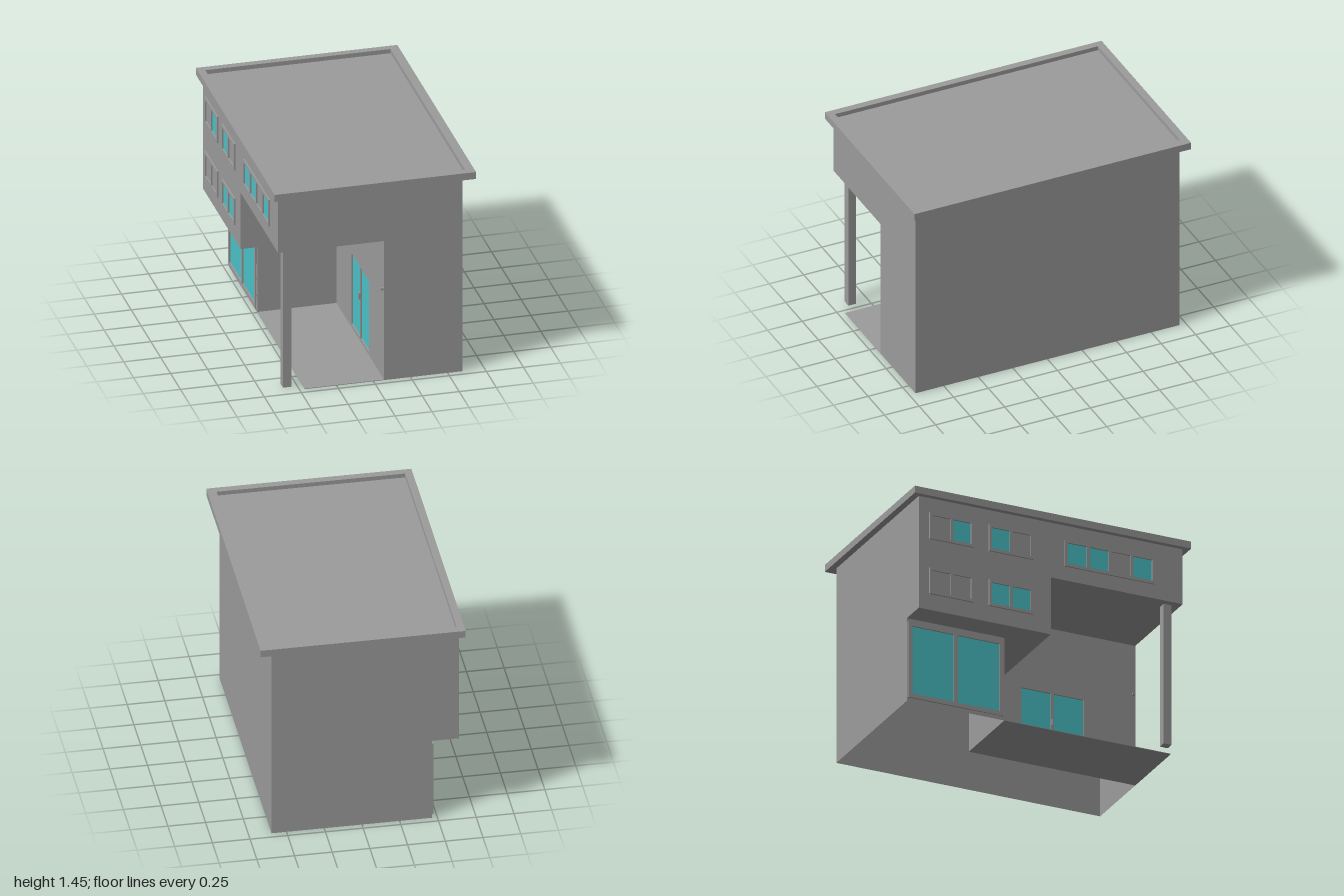
import * as THREE from 'three';

const grey = new THREE.MeshStandardMaterial({ color: 0x9c9c9c, side: THREE.DoubleSide, flatShading: true });
const teal = new THREE.MeshStandardMaterial({ color: 0x4bc3c8, side: THREE.DoubleSide, flatShading: true });

const polygon = (pts) => new THREE.Shape(pts.map(([a, b]) => new THREE.Vector2(a, b)));
const rect = (a0, a1, b0, b1) => [[a0, b0], [a1, b0], [a1, b1], [a0, b1]];

export function createModel() {
  const model = new THREE.Group();

  const add = (name, geometry, material = grey, parent = model) => {
    const mesh = new THREE.Mesh(geometry, material);
    mesh.name = name;
    parent.add(mesh);
    return mesh;
  };
  const box = (name, x0, x1, y0, y1, z0, z1) => {
    const mesh = add(name, new THREE.BoxGeometry(x1 - x0, y1 - y0, z1 - z0));
    mesh.position.set((x0 + x1) / 2, (y0 + y1) / 2, (z0 + z1) / 2);
  };
  // Thin wall in the x-y plane at depth z
  const crossWall = (name, z, pts) => {
    add(name, new THREE.ShapeGeometry(polygon(pts))).position.z = z;
  };
  // Thin wall in the z-y plane at x, with rectangular openings
  const sideWall = (name, x, pts, openings = []) => {
    const shape = polygon(pts);
    openings.forEach((o) => shape.holes.push(polygon(rect(o.z0, o.z1, o.y0, o.y1))));
    const mesh = add(name, new THREE.ShapeGeometry(shape));
    mesh.rotation.y = -Math.PI / 2;
    mesh.position.x = x;
  };
  // Level underside in the x-z plane at height y
  const soffit = (name, y, x0, x1, z0, z1) => {
    const mesh = add(name, new THREE.PlaneGeometry(x1 - x0, z1 - z0));
    mesh.rotation.x = Math.PI / 2;
    mesh.position.set((x0 + x1) / 2, y, (z0 + z1) / 2);
  };
  // Framed window facing -x: one letter per pane, t = tinted, g = grey
  const glazing = (name, x, o) => {
    const group = new THREE.Group();
    group.name = name;
    group.rotation.y = -Math.PI / 2;
    group.position.x = x;
    model.add(group);
    const rim = o.rim, n = o.panes.length;
    const width = (o.z1 - o.z0 - rim * (n + 1)) / n;
    const shape = polygon(rect(o.z0, o.z1, o.y0, o.y1));
    [...o.panes].forEach((kind, i) => {
      const a = o.z0 + rim + i * (width + rim);
      const corners = rect(a, a + width, o.y0 + rim, o.y1 - rim);
      shape.holes.push(polygon(corners));
      add('pane', new THREE.ShapeGeometry(polygon(corners)), kind === 't' ? teal : grey, group);
    });
    add('windowFrame', new THREE.ExtrudeGeometry(shape, { depth: 0.01, bevelEnabled: false }), grey, group);
  };

  // Window layout
  const row = (y0, y1, list) => list.map(([z0, z1, panes]) => ({ z0, z1, y0, y1, panes, rim: 0.02 }));
  const upper = row(1.105, 1.295, [[-0.88, -0.56, 'gt'], [-0.45, -0.13, 'tg'], [0.1, 0.75, 'ttgt']]);
  const middle = row(0.71, 0.9, [[-0.88, -0.56, 'gg'], [-0.45, -0.13, 'tt']]);
  const terrace = { z0: -0.95, z1: -0.26, y0: 0.025, y1: 0.57, panes: 'tt', rim: 0.03 };
  const entrance = { z0: 0.11, z1: 0.6, y0: 0.01, y1: 0.56, panes: 'tt', rim: 0.02 };

  // Outer walls
  crossWall('frontWall', 0.955,
    [[0.07, 0], [0.6, 0], [0.6, 1.4], [-0.645, 1.4], [-0.645, 1.005], [0.07, 1.005]]);
  crossWall('backWall', -0.955,
    [[-0.465, 0], [0.6, 0], [0.6, 1.4], [-0.645, 1.4], [-0.645, 0.595], [-0.465, 0.595]]);
  sideWall('blankSideWall', 0.6, rect(-0.955, 0.955, 0, 1.4));
  sideWall('windowSideWall', -0.645,
    [[-0.955, 0.595], [0, 0.595], [0, 1.005], [0.955, 1.005], [0.955, 1.4], [-0.955, 1.4]], [...upper, ...middle]);
  sideWall('groundFloorSideWall', -0.465, rect(-0.955, -0.25, 0, 0.595), [terrace]);

  // Walls and undersides around the open carport
  sideWall('carportSideWall', 0.07,
    [[-0.25, 0], [0.955, 0], [0.955, 1.005], [0, 1.005], [0, 0.595], [-0.25, 0.595]], [entrance]);
  crossWall('carportBackWall', -0.25, rect(-0.465, 0.07, 0, 0.595));
  crossWall('middleFloorFrontWall', 0, rect(-0.645, 0.07, 0.595, 1.005));
  soffit('middleFloorUnderside', 0.595, -0.645, 0.07, -0.955, 0);
  soffit('upperFloorUnderside', 1.005, -0.645, 0.07, 0, 0.955);
  box('carportFloor', -0.465, 0.07, 0, 0.004, -0.25, 0.955);
  box('carportColumn', -0.597, -0.54, 0, 1.005, 0.84, 0.897);

  // Windows and doors; the entrance sits flush inside its wall
  upper.forEach((o) => glazing('upperWindow', -0.645, o));
  middle.forEach((o) => glazing('middleWindow', -0.645, o));
  glazing('terraceDoors', -0.467, terrace);
  glazing('entranceDoors', 0.08, entrance);
  box('doorHandle', 0.057, 0.07, 0.31, 0.355, 0.35, 0.36);
  box('wallLamp', 0.05, 0.07, 0.645, 0.66, 0.93, 0.945);

  // Flat roof with raised rim
  box('roofSlab', -0.68, 0.68, 1.4, 1.42, -1, 1);
  const rimShape = polygon(rect(-0.68, 0.68, -1, 1));
  rimShape.holes.push(polygon(rect(-0.63, 0.62, -0.95, 0.95)));
  const rim = add('roofRim', new THREE.ExtrudeGeometry(rimShape, { depth: 0.03, bevelEnabled: false }));
  rim.rotation.x = -Math.PI / 2;
  rim.position.y = 1.42;

  return model;
}
